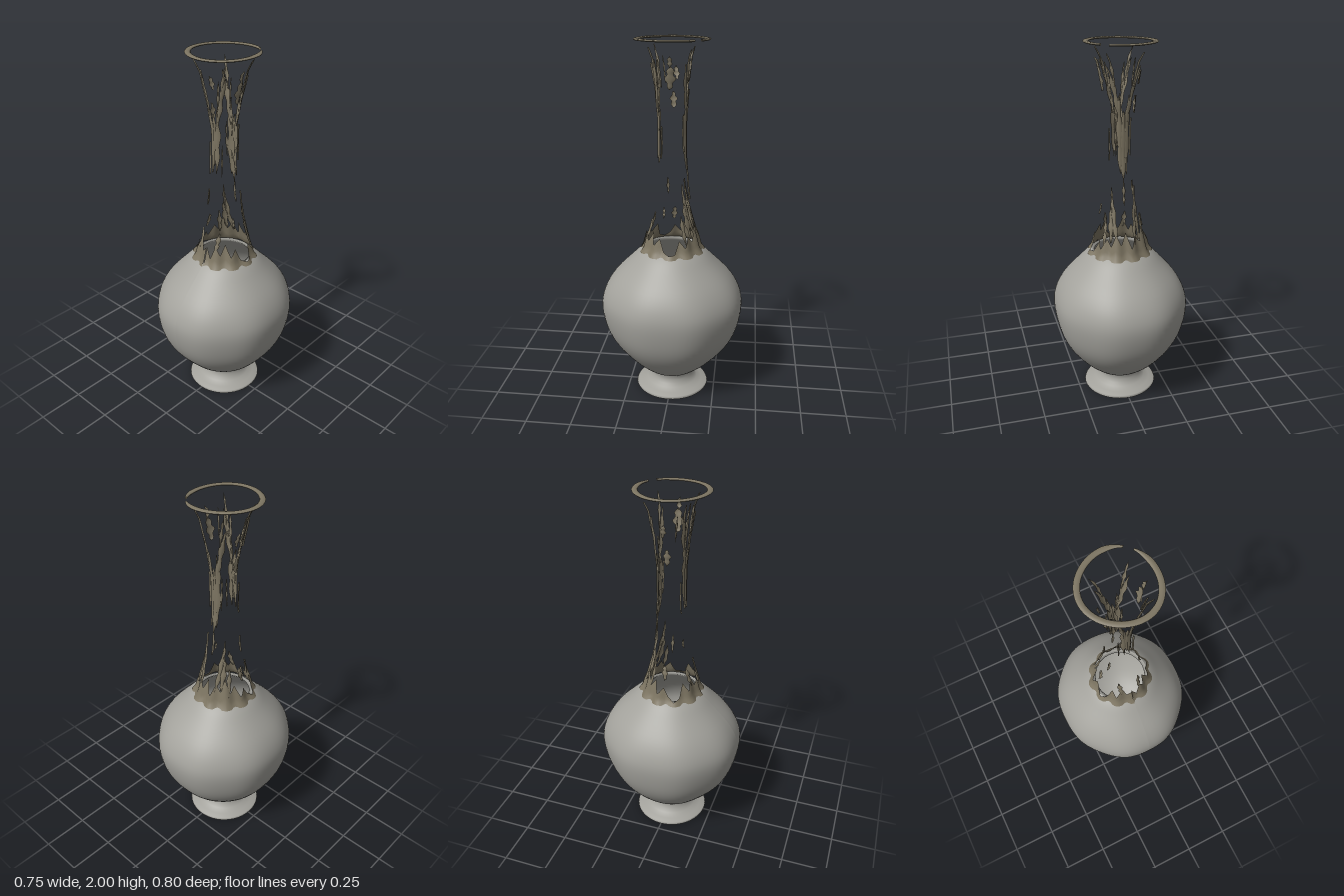
import * as THREE from 'three';

const V2 = (p) => new THREE.Vector2(p[0], p[1]);
const stone = new THREE.MeshStandardMaterial({ color: 0xa3a29c, side: THREE.DoubleSide });
const earth = new THREE.MeshStandardMaterial({ color: 0x7d7562, side: THREE.DoubleSide });

// Radius of the broken neck at a given height
const NECK = [[0.84, 0.19], [0.88, 0.16], [1, 0.128], [1.1, 0.105], [1.2, 0.09], [1.4, 0.075], [1.6, 0.075], [1.75, 0.09], [1.9, 0.12], [2, 0.17]];
function neckRadius(y) {
  for (let i = 1; i < NECK.length; i++) {
    const [y0, r0] = NECK[i - 1], [y1, r1] = NECK[i];
    if (y <= y1) return r0 + (r1 - r0) * (y - y0) / (y1 - y0);
  }
  return 0.17;
}
const onNeck = (deg, y, inset = 0) => {
  const a = deg * Math.PI / 180, r = neckRadius(y) - inset;
  return [r * Math.sin(a), y, r * Math.cos(a)];
};

// Grid surface from point(u, v)
function surface(nu, nv, point) {
  const pos = [], idx = [];
  for (let j = 0; j <= nv; j++) for (let i = 0; i <= nu; i++) pos.push(...point(i / nu, j / nv));
  for (let j = 0; j < nv; j++) for (let i = 0; i < nu; i++) {
    const a = j * (nu + 1) + i, b = a + nu + 1;
    idx.push(a, a + 1, b, a + 1, b + 1, b);
  }
  const g = new THREE.BufferGeometry();
  g.setAttribute('position', new THREE.Float32BufferAttribute(pos, 3));
  g.setIndex(idx);
  g.computeVertexNormals();
  return g;
}

function add(group, name, geometry, material) {
  const m = new THREE.Mesh(geometry, material);
  m.name = name;
  group.add(m);
}

// Pointed sliver of neck wall between two heights, with a wavy edge
function shard(deg0, y0, deg1, y1, width) {
  return surface(2, 14, (u, v) => {
    const y = y0 + (y1 - y0) * v, r = neckRadius(y);
    const w = width * Math.sin(Math.PI * v) ** 0.7 * (1 + 0.3 * Math.sin(v * 17 + deg0));
    const deg = deg0 + (deg1 - deg0) * v + (u - 0.5) * w / r * 57.3;
    return onNeck(deg, y, u === 0.5 ? -0.004 : 0.004);
  });
}

export function createModel() {
  const vase = new THREE.Group();
  vase.name = 'brokenVase';

  // Hollow oval body, slightly lobed
  const outer = new THREE.SplineCurve([[0.12, 0.1], [0.17, 0.135], [0.24, 0.2], [0.32, 0.3], [0.367, 0.4], [0.39, 0.52],
    [0.378, 0.61], [0.328, 0.7], [0.235, 0.8], [0.19, 0.845], [0.155, 0.872]].map(V2)).getPoints(44);
  const inner = new THREE.SplineCurve([[0.14, 0.865], [0.22, 0.785], [0.31, 0.69], [0.36, 0.6], [0.368, 0.52],
    [0.345, 0.4], [0.3, 0.31], [0.22, 0.21], [0.12, 0.15], [0, 0.13]].map(V2)).getPoints(30);
  const body = new THREE.LatheGeometry([...outer, ...inner], 72);
  const p = body.attributes.position;
  for (let i = 0; i < p.count; i++) {
    const x = p.getX(i), y = p.getY(i), z = p.getZ(i), a = Math.atan2(x, z);
    const swell = Math.max(0, Math.sin((y - 0.1) / 0.77 * Math.PI));
    const k = 1 + 0.008 * swell * Math.cos(8 * a + Math.PI);
    p.setXYZ(i, x * k * (1 - 0.035 * swell), y, z * k * (1 + 0.028 * swell));
  }
  body.computeVertexNormals();
  add(vase, 'body', body, stone);

  // Flared foot with a flat underside
  add(vase, 'foot', new THREE.LatheGeometry([[0, 0], [0.205, 0], [0.205, 0], [0.21, 0.008], [0.205, 0.017], [0.175, 0.024],
    [0.145, 0.04], [0.13, 0.055], [0.122, 0.075], [0.118, 0.1], [0.135, 0.118]].map(V2), 48), stone);

  // Jagged collar left where the neck broke off, clockwise from the front
  const teeth = [0.96, 0.9, 0.98, 0.93, 0.99, 0.92, 0.96, 0.89, 0.875, 0.88, 0.95, 0.91, 0.97, 0.93, 1.0, 0.94,
    1.01, 0.92, 0.99, 0.95, 1.03, 0.94, 0.98, 0.91, 0.95, 0.9, 0.875, 0.89, 0.97, 0.92, 1.0, 0.93];
  const n = teeth.length;
  add(vase, 'brokenCollar', surface(n * 3, 5, (u, v) => {
    const t = u * n, i = Math.floor(t) % n, f = t - Math.floor(t);
    const top = teeth[i] * (1 - f) + teeth[(i + 1) % n] * f;
    return onNeck(u * 360, 0.855 + (top - 0.855) * v, 0.006 * Math.sin(t * 2.1));
  }), earth);

  // Remaining slivers of the neck: angle, height at each end, then width
  const shards = new THREE.Group();
  shards.name = 'neckShards';
  const mirrored = [
    [10, 1.38, 16, 1.72, 0.032], [14, 1.62, 46, 1.9, 0.026], [30, 1.76, 44, 1.96, 0.016], [20, 1.72, 28, 1.88, 0.014],
    [168, 1.32, 162, 1.74, 0.034], [166, 1.6, 132, 1.88, 0.028], [150, 1.78, 138, 1.95, 0.016], [150, 1.42, 146, 1.62, 0.012],
    [160, 0.94, 138, 1.2, 0.026], [145, 0.95, 135, 1.14, 0.03], [128, 0.92, 122, 1.08, 0.024], [140, 1.1, 134, 1.25, 0.014],
    [32, 1.36, 34, 1.54, 0.01], [60, 1.76, 58, 1.9, 0.01], [22, 0.94, 30, 1.05, 0.026],
  ];
  for (const [a0, y0, a1, y1, w] of mirrored) {
    add(shards, 'shardLeft', shard(a0, y0, a1, y1, w), earth);
    add(shards, 'shardRight', shard(-a0, y0, -a1, y1, w), earth);
  }
  const single = [
    [0, 1.42, 0, 1.7, 0.03], [180, 1.28, 180, 1.66, 0.04], [180, 1.15, 180, 1.29, 0.016], [88, 1.75, 92, 1.87, 0.05],
    [-90, 1.63, -88, 1.72, 0.036], [90, 1.86, 90, 1.92, 0.025], [-70, 1.15, -66, 1.25, 0.016], [-88, 0.99, -92, 1.07, 0.03],
    [72, 1.07, 70, 1.13, 0.016], [-100, 1.78, -94, 1.85, 0.03],
  ];
  for (const s of single) add(shards, 'shard', shard(...s), earth);
  vase.add(shards);

  // Thin flat lip ring, open at the back left
  const gap = 0.13, mid = 140 * Math.PI / 180;
  add(vase, 'lipRing', surface(64, 8, (u, v) => {
    const a = mid + gap + u * (2 * Math.PI - 2 * gap), s = v * 2 * Math.PI;
    const taper = 0.35 + 0.65 * Math.min(1, 14 * Math.min(u, 1 - u));
    const r = 0.176 + 0.004 * Math.sin(3 * a) + 0.015 * taper * Math.cos(s);
    return [r * Math.sin(a) - 0.003, 1.994 + 0.006 * Math.sin(s), r * 1.03 * Math.cos(a)];
  }), earth);

  return vase;
}
